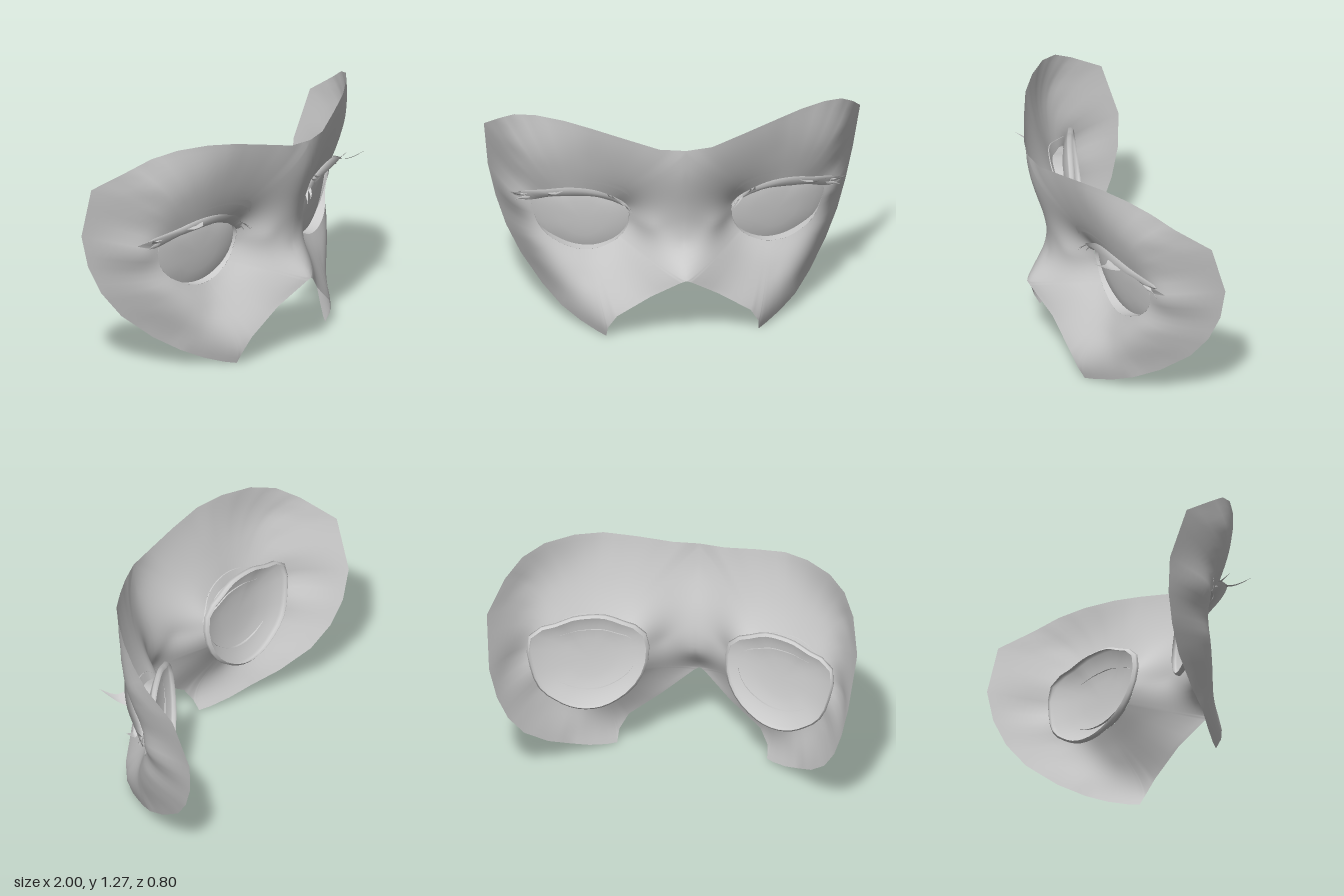
import * as THREE from 'three';
import { mergeGeometries, mergeVertices } from 'three/addons/utils/BufferGeometryUtils.js';

const V = (x, y, z = 0) => new THREE.Vector3(x, y, z);
const mat = new THREE.MeshStandardMaterial({ color: 0xcccccc, side: THREE.DoubleSide });

// Outer edge of the left half: over the brow, down the cheek, up the nose notch
const OUTLINE = [
  [0, 1.175, 0.395], [0.14, 1.18, 0.375], [0.32, 1.225, 0.32], [0.49, 1.265, 0.26], [0.63, 1.28, 0.18],
  [0.77, 1.27, 0.08], [0.87, 1.23, -0.02], [0.94, 1.155, -0.13], [1, 1.035, -0.315], [0.97, 0.75, -0.4],
  [0.93, 0.57, -0.385], [0.88, 0.42, -0.335], [0.81, 0.29, -0.255], [0.71, 0.17, -0.12], [0.62, 0.095, 0],
  [0.53, 0.045, 0.085], [0.45, 0.015, 0.16], [0.405, 0.005, 0.205], [0.4, 0.07, 0.24], [0.355, 0.15, 0.27],
  [0.18, 0.28, 0.315], [0.03, 0.39, 0.39], [0, 0.405, 0.4],
];
// Depth points on the nose bridge, brow, temple and cheek
const FORM = [
  [0, 1.02, 0.375], [0, 0.9, 0.34], [0, 0.75, 0.295], [0, 0.62, 0.28], [0, 0.56, 0.29], [0, 0.5, 0.33], [0, 0.45, 0.37],
  [0.1, 0.65, 0.262], [0.17, 0.65, 0.23], [0.22, 0.65, 0.175], [0.25, 0.45, 0.2], [0.3, 0.35, 0.21],
  [0.28, 0.86, 0.21], [0.25, 1.02, 0.295], [0.5, 0.87, 0.14], [0.5, 1.05, 0.205],
  [0.72, 0.95, 0.085], [0.8, 1.07, 0.06], [0.87, 0.9, -0.075], [0.91, 1.05, -0.08],
  [0.85, 0.66, -0.1], [0.91, 0.68, -0.22], [0.95, 0.66, -0.385],
  [0.78, 0.45, -0.08], [0.5, 0.3, 0.115], [0.62, 0.25, 0.055], [0.72, 0.32, -0.04],
];
// Eye opening: radius and depth at 16 equal angles
const EYE = V(0.52, 0.62);
const HOLE_R = [0.242, 0.27, 0.2, 0.175, 0.167, 0.178, 0.2, 0.252, 0.245, 0.22, 0.193, 0.178, 0.17, 0.172, 0.185, 0.217];
const HOLE_Z = [-0.045, -0.035, 0.04, 0.08, 0.1, 0.112, 0.115, 0.11, 0.097, 0.088, 0.078, 0.068, 0.056, 0.04, 0.018, -0.02];

function holePoint(angle) {
  const t = ((angle / (Math.PI * 2)) * 16 + 32) % 16;
  const i = Math.floor(t), f = t - i;
  const p = [-1, 0, 1, 2].map((k) => HOLE_R[(i + k + 16) % 16]);
  const r = p[1] + 0.5 * f * (p[2] - p[0] + f * (2 * p[0] - 5 * p[1] + 4 * p[2] - p[3] + f * (3 * (p[1] - p[2]) + p[3] - p[0])));
  return V(EYE.x + Math.cos(angle) * r, EYE.y + Math.sin(angle) * r);
}

// Symmetric thin-plate surface through the depth points; returns z at (x, y)
function makeHeight(points) {
  const n = points.length, size = n + 2;
  const kernel = (d2) => (d2 < 1e-12 ? 0 : d2 * Math.log(d2));
  const basis = (x, y) => [
    ...points.map(([a, b]) => kernel((x - a) ** 2 + (y - b) ** 2) + kernel((x + a) ** 2 + (y - b) ** 2)), 1, y];
  const m = points.map(([x, y, z]) => [...basis(x, y), z]);
  m.push([...points.map(() => 1), 0, 0, 0], [...points.map((p) => p[1]), 0, 0, 0]);
  for (let c = 0; c < size; c++) {
    let best = c;
    for (let r = c; r < size; r++) if (Math.abs(m[r][c]) > Math.abs(m[best][c])) best = r;
    [m[c], m[best]] = [m[best], m[c]];
    for (let r = 0; r < size; r++) {
      if (r === c) continue;
      const f = m[r][c] / m[c][c];
      for (let k = c; k <= size; k++) m[r][k] -= f * m[c][k];
    }
  }
  const w = m.map((row, i) => row[size] / row[i]);
  return (x, y) => basis(x, y).reduce((sum, b, i) => sum + b * w[i], 0);
}
const rimPoints = HOLE_Z.map((z, i) => {
  const p = holePoint((i * Math.PI) / 8);
  return [p.x, p.y, z];
});
const height = makeHeight([...OUTLINE, ...FORM, ...rimPoints]);

// Surface through rows of points
function grid(rows) {
  const cols = rows[0].length, index = [];
  for (let i = 0; i < rows.length - 1; i++) {
    for (let j = 0; j < cols - 1; j++) {
      const a = i * cols + j, b = a + cols;
      index.push(a, b + 1, b, a, a + 1, b + 1);
    }
  }
  const g = new THREE.BufferGeometry().setFromPoints(rows.flat());
  g.setIndex(index);
  return g;
}
function mirrored(g) {
  const m = g.clone().scale(-1, 1, 1);
  const ix = m.index.array;
  for (let i = 0; i < ix.length; i += 3) [ix[i], ix[i + 1]] = [ix[i + 1], ix[i]];
  return m;
}
function mesh(g, name) {
  const welded = mergeVertices(g, 1e-4);
  welded.computeVertexNormals();
  const m = new THREE.Mesh(welded, mat);
  m.name = name;
  return m;
}
const curve = (pts, n) => new THREE.CatmullRomCurve3(pts.map((p) => V(...p))).getPoints(n);

// Half of the mask: rings from the eye opening out to a straight-sided edge
function maskHalf() {
  const centre = [0.5, 0.6, 0.7, 0.8, 0.9, 1, 1.1].map((y) => [0, y, height(0, y)]);
  const loop = [...OUTLINE, ...centre, OUTLINE[0]].map((p) => V(...p));
  const edge = [];
  for (let i = 0; i < loop.length - 1; i++) {
    for (let k = 0; k < 3; k++) edge.push(loop[i].clone().lerp(loop[i + 1], k / 3));
  }
  edge.push(edge[0].clone());
  const fix = edge.map((e) => (e.x > 0 ? e.z - height(e.x, e.y) : 0));
  const rows = [];
  for (let r = 0; r <= 14; r++) {
    rows.push(edge.map((e, j) => {
      const p = holePoint(Math.atan2(e.y - EYE.y, e.x - EYE.x)).lerp(e, r / 14);
      p.z = height(p.x, p.y) + fix[j] * (r / 14) ** 3;
      return p;
    }));
  }
  return grid(rows);
}

// Point on the eye: ring s (0 centre, 1 rim), taller than the opening, top leaning forward
function eyePoint(angle, s, bulge) {
  const d = holePoint(angle).sub(EYE);
  const x = EYE.x + d.x * s * (d.x > 0 ? 1.2 : 1.27);
  const y = EYE.y + d.y * s * (d.y > 0 ? 1.65 : 1.54);
  return V(x, y, 0.075 - 0.29 * (x - 0.2) + 0.13 * (y - EYE.y) + bulge);
}
const TURN = Array.from({ length: 33 }, (_, j) => (-j * Math.PI) / 16);

// Shallow domed eye shell with a narrow rim curled back
function eyeShell() {
  const rings = [0, 0.2, 0.4, 0.55, 0.7, 0.8, 0.88, 0.95, 1].map((s) => [s, 0.055 * (1 - s ** 3)]);
  rings.push([1, -0.015], [0.96, -0.025]);
  return grid(rings.map(([s, bulge]) => TURN.map((a) => eyePoint(a, s, bulge))));
}

// Lip running from the opening back to the eye
function socketLip() {
  const front = TURN.map((a) => {
    const p = holePoint(a);
    return p.setZ(height(p.x, p.y));
  });
  const back = TURN.map((a, j) => front[j].clone().setZ(Math.min(front[j].z, eyePoint(a, 0.74, 0.03).z)));
  return grid([back, front]);
}

// Upper lash: a wedge from the lid edge out to a front edge and back to the brow
function lashBand() {
  const lid = curve([[0.28, 0.7, 0.112], [0.3, 0.72, 0.115], [0.38, 0.765, 0.118], [0.455, 0.786, 0.113], [0.53, 0.787, 0.1],
    [0.6, 0.78, 0.08], [0.68, 0.758, 0.03], [0.77, 0.715, -0.03], [0.82, 0.705, -0.05]], 28);
  const front = curve([[0.265, 0.705, 0.13], [0.3, 0.755, 0.165], [0.37, 0.81, 0.187], [0.45, 0.845, 0.2], [0.54, 0.858, 0.185],
    [0.63, 0.847, 0.145], [0.72, 0.81, 0.085], [0.81, 0.775, 0], [0.9, 0.737, -0.09]], 28);
  const brow = front.map((p, i) => {
    const q = p.clone().lerp(lid[i], 0.2);
    q.z = Math.min(p.z, Math.max(height(q.x, q.y) - 0.005, lid[i].z - 0.02));
    return q;
  });
  return mergeGeometries([grid([lid, front]), grid([front, brow])]);
}

// Curved pointed lash between two root points, bent through a middle point
function spike(rootA, rootB, mid, tip) {
  const a = curve([rootA, mid, tip], 6), b = curve([rootB, mid.map((c, i) => c + (rootB[i] - rootA[i]) * 0.45), tip], 6);
  const ridge = a.map((p, i) => p.clone().lerp(b[i], 0.5).add(V(0, 0, 0.012 * (1 - i / 6))));
  return grid([a, ridge, b]);
}
const SPIKES = [
  [[0.62, 0.845, 0.14], [0.7, 0.81, 0.08], [0.67, 0.842, 0.175], [0.72, 0.887, 0.25]],
  [[0.77, 0.785, 0.03], [0.83, 0.755, -0.03], [0.83, 0.762, 0], [0.89, 0.785, 0.01]],
  [[0.78, 0.75, -0.02], [0.8, 0.71, -0.04], [0.83, 0.73, -0.04], [0.87, 0.705, -0.05]],
  [[0.29, 0.75, 0.15], [0.31, 0.77, 0.16], [0.275, 0.73, 0.175], [0.255, 0.705, 0.195]],
  [[0.32, 0.77, 0.14], [0.34, 0.785, 0.15], [0.295, 0.745, 0.185], [0.27, 0.725, 0.205]],
  [[0.275, 0.725, 0.13], [0.29, 0.74, 0.14], [0.27, 0.71, 0.145], [0.262, 0.695, 0.155]],
];

// Tapered lid crease lying just off the brow
function lidCrease() {
  const lift = (pts) => curve(pts, 16).map((p) => V(p.x, p.y, height(p.x, p.y) + 0.012));
  return grid([
    lift([[0.27, 0.81, 0], [0.32, 0.855, 0], [0.44, 0.896, 0], [0.6, 0.9, 0]]),
    lift([[0.27, 0.81, 0], [0.305, 0.885, 0], [0.43, 0.915, 0], [0.6, 0.904, 0]]),
  ]);
}

export function createModel() {
  const model = new THREE.Group();
  model.name = 'halfMask';
  const half = maskHalf();
  model.add(mesh(mergeGeometries([half, mirrored(half)]), 'maskShell'));

  const lashSpikes = mergeGeometries(SPIKES.map((s) => spike(...s)));
  const parts = { eye: eyeShell(), socketLip: socketLip(), lashBand: lashBand(), lashSpikes, lidCrease: lidCrease() };
  for (const [name, g] of Object.entries(parts)) {
    model.add(mesh(g, name + 'Left'), mesh(mirrored(g), name + 'Right'));
  }
  return model;
}
